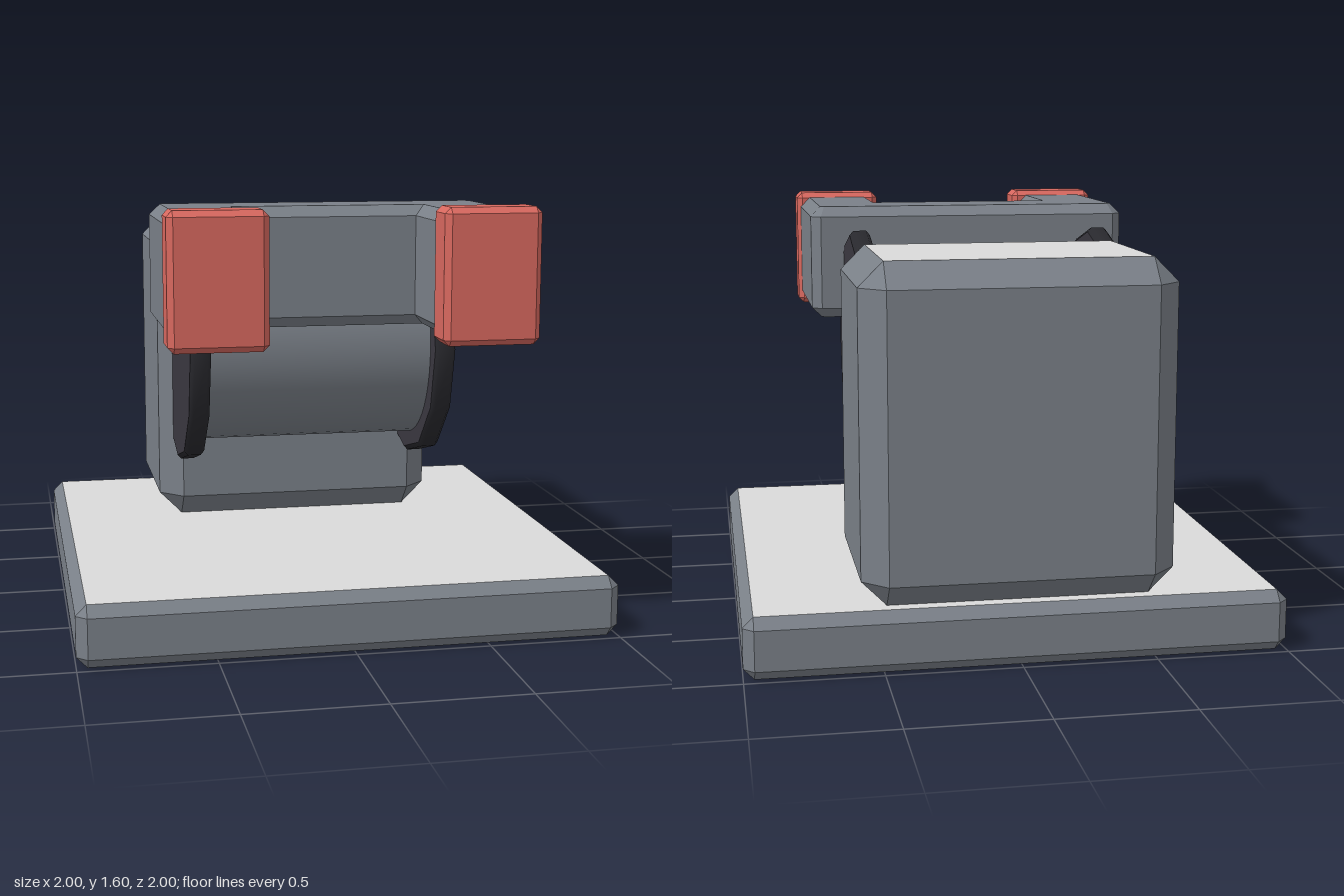
import * as THREE from 'three';
import { ConvexGeometry } from 'three/addons/geometries/ConvexGeometry.js';

function material(name, color) {
  const m = new THREE.MeshStandardMaterial({ color });
  m.name = name;
  return m;
}

// Box given by its limits, with every edge cut at 45 degrees by c.
function chamferBox([x0, x1], [y0, y1], [z0, z1], c) {
  const h = new THREE.Vector3((x1 - x0) / 2, (y1 - y0) / 2, (z1 - z0) / 2);
  const points = [];
  for (const sx of [-1, 1]) for (const sy of [-1, 1]) for (const sz of [-1, 1]) {
    for (const axis of ['x', 'y', 'z']) {
      const p = h.clone().subScalar(c);
      p[axis] += c;
      points.push(p.multiply(new THREE.Vector3(sx, sy, sz)));
    }
  }
  return new ConvexGeometry(points).translate((x0 + x1) / 2, (y0 + y1) / 2, (z0 + z1) / 2);
}

// Gives level faces (top and bottom) the second material.
function groupLevelFaces(geometry) {
  const normal = geometry.attributes.normal;
  for (let i = 0; i < normal.count; i += 3) {
    geometry.addGroup(i, 3, Math.abs(normal.getY(i)) > 0.99 ? 1 : 0);
  }
  return geometry;
}

export function createModel() {
  const model = new THREE.Group();
  model.name = 'machine';
  const steel = material('steel grey', 0x7a8088);
  const pale = material('pale grey', 0xdadada);
  const red = material('red', 0xd8685f);
  const dark = material('dark grey', 0x3a3840);
  const black = material('rim black', 0x29292e);

  function add(name, geometry, mat, parent = model) {
    const mesh = new THREE.Mesh(geometry, mat);
    mesh.name = name;
    parent.add(mesh);
    return mesh;
  }

  // Base plate and rear housing with pale level faces
  add('basePlate', groupLevelFaces(chamferBox([-1, 1], [0, 0.23], [-1, 1], 0.04)), [steel, pale]);
  add('housing', groupLevelFaces(chamferBox([-0.575, 0.575], [0.23, 1.465], [-1, -0.19], 0.092)), [steel, pale]);

  // Drum lying across the model between two twelve-sided discs
  const axleY = 1.005, axleZ = -0.075;
  const drum = add('drum', new THREE.CylinderGeometry(0.405, 0.405, 0.9, 48).rotateZ(Math.PI / 2), steel);
  drum.position.set(0, axleY, axleZ);

  const rimProfile = [[0.478, -0.04], [0.495, -0.025], [0.495, 0.025], [0.478, 0.04]]
    .map(([r, y]) => new THREE.Vector2(r, y));
  for (const side of [-1, 1]) {
    const disc = new THREE.Group();
    disc.name = side > 0 ? 'leftDisc' : 'rightDisc';
    disc.position.set(side * 0.48, axleY, axleZ);
    add('discRim', new THREE.LatheGeometry(rimProfile, 12).rotateZ(-Math.PI / 2), black, disc);
    for (const face of [-1, 1]) {
      const cap = new THREE.CircleGeometry(0.478, 12).rotateY(face * Math.PI / 2);
      add('discFace', cap.translate(face * 0.04, 0, 0), dark, disc);
    }
    model.add(disc);
  }

  // Tapered pin between the drum and the yoke
  const pinBack = new THREE.Vector3(0, 1.375, -0.07);
  const pinFront = new THREE.Vector3(0, 1.33, 0.19);
  const pinAxis = pinBack.clone().sub(pinFront);
  const pin = add('pin', new THREE.CylinderGeometry(0.036, 0.064, pinAxis.length(), 20), pale);
  pin.position.copy(pinBack).add(pinFront).multiplyScalar(0.5);
  pin.quaternion.setFromUnitVectors(new THREE.Vector3(0, 1, 0), pinAxis.normalize());

  // U-shaped yoke, open to the front, with bevelled edges
  const bevel = 0.04, cut = 0.015;
  const half = [[0.61 - cut, 0.23], [0.61, 0.23 + cut], [0.61, 0.83], [0.37, 0.83], [0.37, 0.46]];
  const mirrored = half.map(([x, z]) => [-x, z]).reverse();
  const outline = new THREE.Shape([...half, ...mirrored].map(([x, z]) => new THREE.Vector2(x, z)));
  const yoke = new THREE.ExtrudeGeometry(outline, {
    depth: 0.375, bevelEnabled: true, bevelSize: bevel, bevelThickness: bevel, bevelSegments: 1,
  });
  add('yoke', yoke.rotateX(Math.PI / 2).translate(0, 1.535, 0), steel);

  // Red tips on the arms
  for (const side of [-1, 1]) {
    const limits = side > 0 ? [0.31, 0.665] : [-0.665, -0.31];
    add(side > 0 ? 'leftTip' : 'rightTip', chamferBox(limits, [1.105, 1.595], [0.83, 0.995], 0.022), red);
  }
  return model;
}
